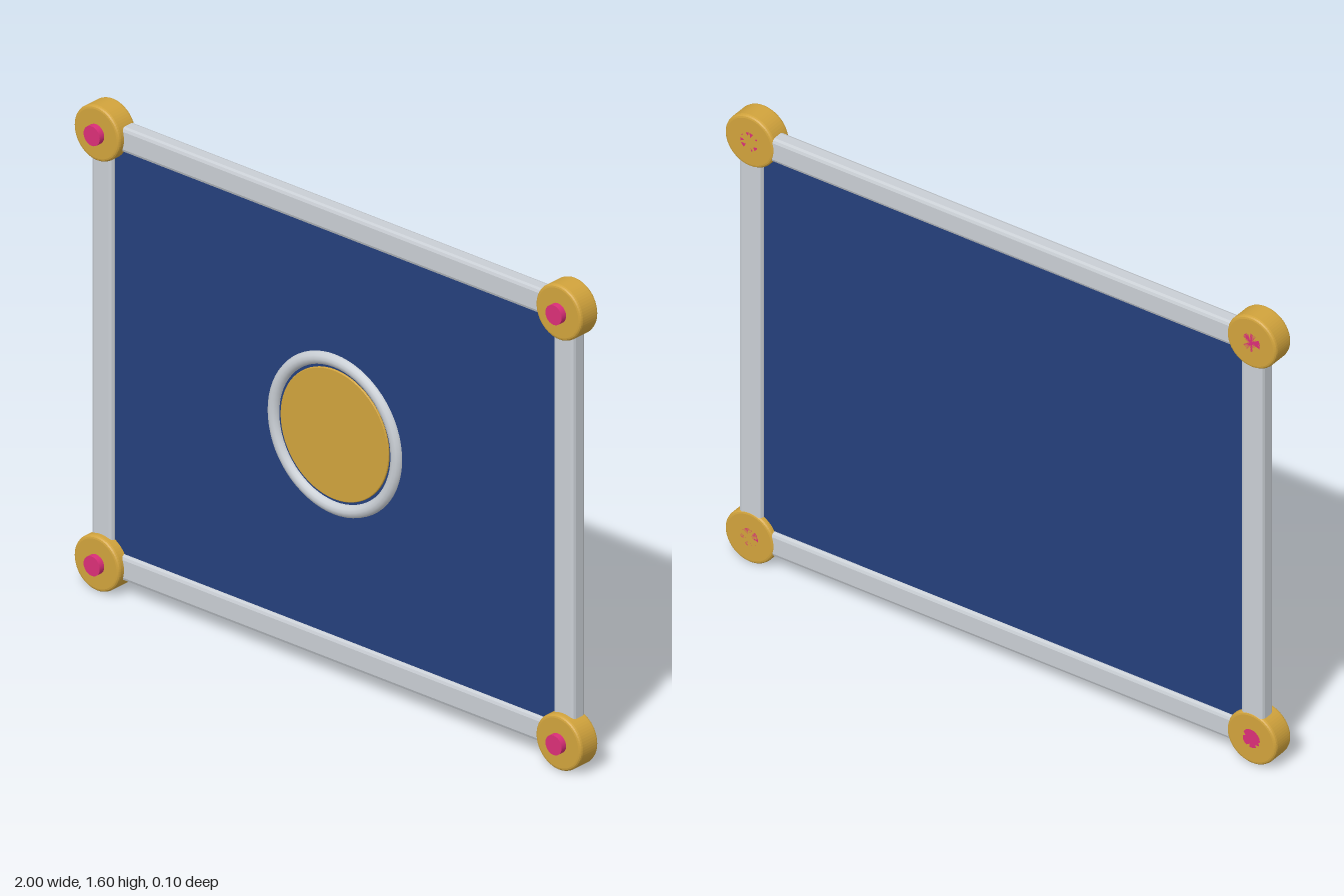
import * as THREE from 'three';

const HALF_W = 0.91, LOW = 0.09, HIGH = 1.505;
const MID = (LOW + HIGH) / 2;

const mat = (color) => new THREE.MeshStandardMaterial({ color });

// Rectangle extruded along z with chamfered edges, centred on the origin
function chamferedBox(w, h, d, c) {
  const x = w / 2 - c, y = h / 2 - c;
  const shape = new THREE.Shape();
  shape.moveTo(-x, -y).lineTo(x, -y).lineTo(x, y).lineTo(-x, y).closePath();
  return new THREE.ExtrudeGeometry(shape, {
    depth: d - 2 * c, bevelThickness: c, bevelSize: c, bevelSegments: 2,
  }).translate(0, 0, -d / 2 + c);
}

// Round disc with bevelled rims, axis along z, from z0 to z1
function bevelledDisc(r, z0, z1, bevel) {
  const shape = new THREE.Shape().absarc(0, 0, r - bevel, 0, Math.PI * 2);
  return new THREE.ExtrudeGeometry(shape, {
    depth: z1 - z0 - 2 * bevel, bevelThickness: bevel, bevelSize: bevel,
    bevelSegments: 3, curveSegments: 32,
  }).translate(0, 0, z0 + bevel);
}

export function createModel() {
  const model = new THREE.Group();
  const silver = mat(0xc9ced4), gold = mat(0xd1a33c), navy = mat(0x25407c), pink = mat(0xdb2f78);

  const add = (name, geometry, material, x, y, z) => {
    const mesh = new THREE.Mesh(geometry, material);
    mesh.name = name;
    mesh.position.set(x, y, z);
    model.add(mesh);
    return mesh;
  };

  // Panel set inside the frame
  add('panel', chamferedBox(1.75, 1.34, 0.024, 0.005), navy, 0, MID, -0.02);

  // Frame rails
  const railH = chamferedBox(HALF_W * 2, 0.082, 0.055, 0.012);
  const railV = chamferedBox(0.082, HIGH - LOW, 0.055, 0.012);
  add('bottomRail', railH, silver, 0, LOW + 0.003, -0.02);
  add('topRail', railH, silver, 0, HIGH - 0.003, -0.02);
  add('leftRail', railV, silver, HALF_W, MID, -0.02);
  add('rightRail', railV, silver, -HALF_W, MID, -0.02);

  // Corner caps with pins running through them
  const cap = bevelledDisc(0.09, -0.05, 0.03, 0.01);
  const pin = new THREE.CylinderGeometry(0.032, 0.032, 0.1, 24).rotateX(Math.PI / 2);
  for (const [side, x] of [['left', HALF_W], ['right', -HALF_W]]) {
    for (const [level, y] of [['Bottom', LOW], ['Top', HIGH]]) {
      add(`${side}${level}Cap`, cap, gold, x, y, 0);
      add(`${side}${level}Pin`, pin, pink, x, y, 0);
    }
  }

  // Round emblem and its ring on the front of the panel
  add('emblemDisc', bevelledDisc(0.213, -0.02, -0.002, 0.003), gold, 0, MID, 0);
  add('emblemRing', new THREE.TorusGeometry(0.242, 0.021, 12, 64), silver, 0, MID, -0.01);

  return model;
}
